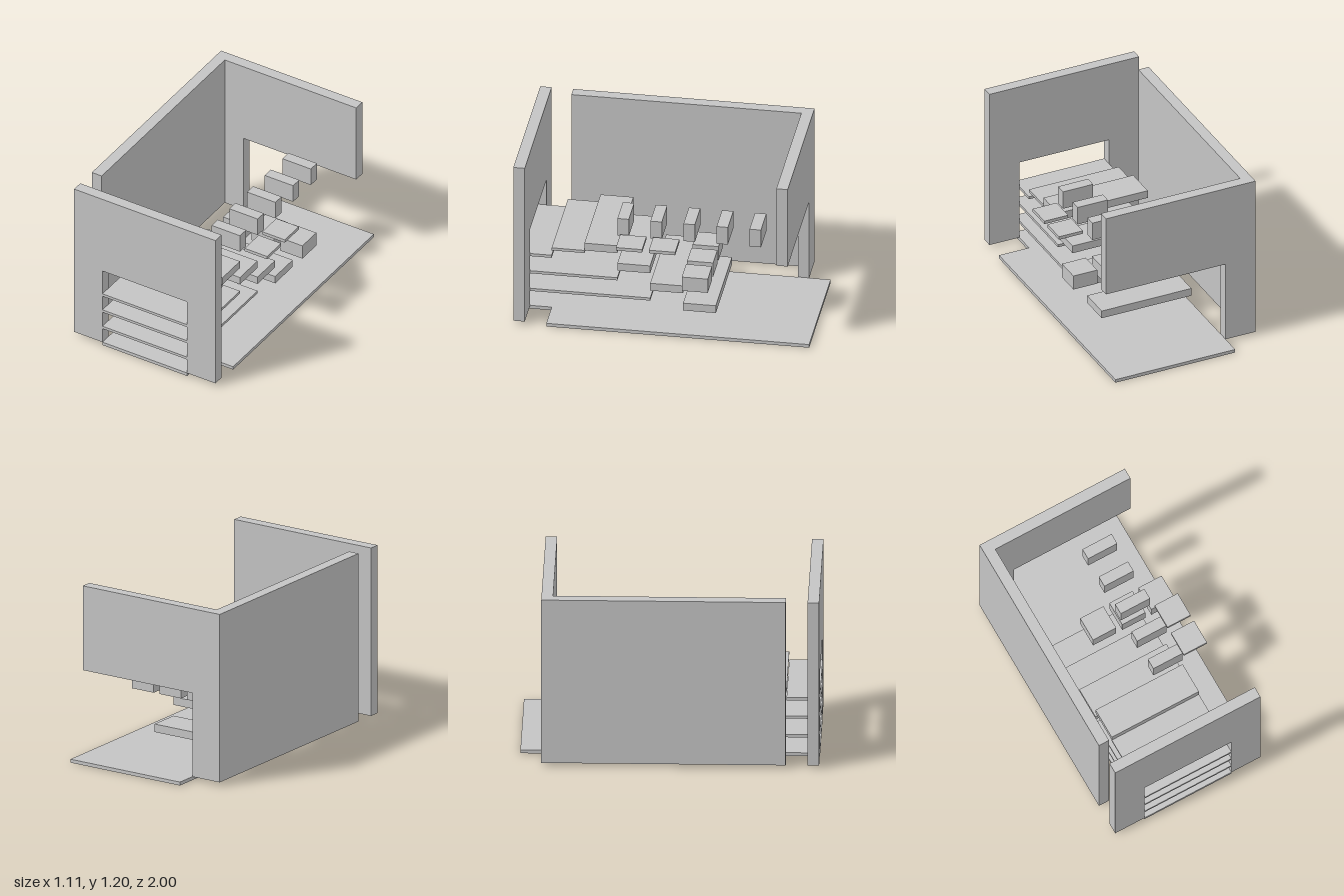
import * as THREE from 'three';

export function createModel() {
  const model = new THREE.Group();
  const plaster = new THREE.MeshStandardMaterial({ color: 0xc4c4c4 });
  plaster.name = 'plain grey';

  const add = (name, geometry) => {
    const mesh = new THREE.Mesh(geometry, plaster);
    mesh.name = name;
    model.add(mesh);
    return mesh;
  };
  // Box given by its limits on each axis
  const block = (name, [x0, x1], [y0, y1], [z0, z1]) =>
    add(name, new THREE.BoxGeometry(x1 - x0, y1 - y0, z1 - z0))
      .position.set((x0 + x1) / 2, (y0 + y1) / 2, (z0 + z1) / 2);
  // Upright wall from an outline in x and y
  const wall = (name, outline, z0, depth) => {
    const shape = new THREE.Shape(outline.map(([x, y]) => new THREE.Vector2(x, y)));
    add(name, new THREE.ExtrudeGeometry(shape, { depth, bevelEnabled: false })).position.z = z0;
  };

  const W = 0.555, S = 0.333, base = 0.024, top = 1.2, head = 0.61;
  const stairX = [-S, S];

  // Floor with one notched front corner
  const floor = new THREE.Shape([
    [-S, -1], [S, -1], [S, -0.777], [W, -0.777], [W, 1], [-S, 1],
  ].map(([x, y]) => new THREE.Vector2(x, y)));
  const floorGeometry = new THREE.ExtrudeGeometry(floor, { depth: base, bevelEnabled: false });
  add('floor', floorGeometry.rotateX(-Math.PI / 2));

  // Front wall with doorway
  wall('frontWall', [
    [-W, base], [-S, base], [-S, head], [S, head], [S, base], [W, base], [W, top], [-W, top],
  ], 0.923, 0.077);

  // L-shaped side and back walls, the back one open below on one side
  wall('backWall', [
    [-W, base], [-S, base], [-S, head], [W, head], [W, top], [-W, top],
  ], -0.855, 0.077);
  block('sideWall', [-W, -0.478], [base, top], [-0.778, 0.777]);

  // Landings stacked in the doorway
  [[0.135, 0.155, 0.111], [0.27, 0.29, 0.333], [0.402, 0.422, 0.777]].forEach(([y0, y1, z0], i) =>
    block(`landing${i + 1}`, stairX, [y0, y1], [z0, 1]));
  block('upperLanding', stairX, [0.459, 0.479], [0.555, 0.777]);

  // Descending steps
  [0.08, 0.212, 0.345, 0.479].forEach((y, i) => {
    const z = -0.333 + i * 0.2222;
    block(`step${i + 1}`, stairX, [y, y + 0.056], [z, z + 0.2222]);
  });

  // Row of raised blocks
  for (let i = 0; i < 5; i++) {
    const z = -0.638 + i * 0.2235;
    block(`raisedBlock${i + 1}`, [0.11, S], [0.613, 0.745], [z, z + 0.077]);
  }

  // Row of low cubes and two thin platforms
  [-0.09, 0.133, 0.355].forEach((x, i) =>
    block(`cube${i + 1}`, [x, x + 0.177], [0.345, 0.45], [-0.311, -0.135]));
  [-0.09, 0.133].forEach((z, i) =>
    block(`platform${i + 1}`, [0.355, 0.532], [0.613, 0.636], [z, z + 0.177]));

  return model;
}
